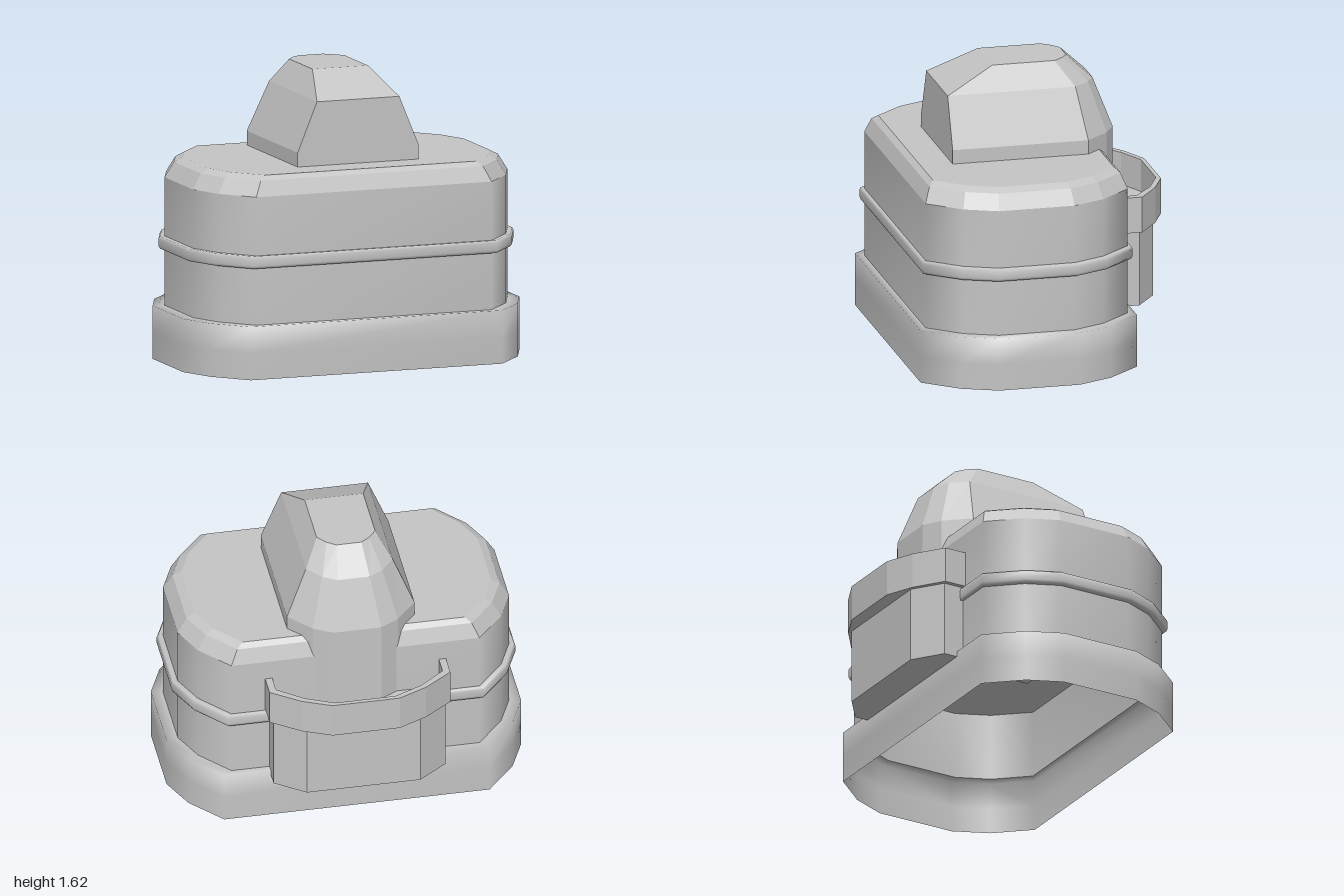
import * as THREE from 'three';

// Symmetric ring at height y from a half outline of [x, z], listed from back to front
function ring(half, y) {
  const right = half.map(([x, z]) => [x, y, z]);
  const left = half.map(([x, z]) => [-x, y, z]).reverse();
  return [...right, ...left];
}

// Skin between successive rings, with optional end caps; flat splits every face
function loft(rings, { bottom = false, top = false, flat = true } = {}) {
  const n = rings[0].length;
  const index = [];
  for (let i = 0; i < rings.length - 1; i++) {
    for (let j = 0; j < n; j++) {
      const k = (j + 1) % n;
      const a = i * n + j, b = i * n + k;
      index.push(a, a + n, b, b, a + n, b + n);
    }
  }
  const last = (rings.length - 1) * n;
  for (let k = 1; k < n - 1; k++) {
    if (bottom) index.push(0, k, k + 1);
    if (top) index.push(last, last + k + 1, last + k);
  }
  const geo = new THREE.BufferGeometry();
  geo.setAttribute('position', new THREE.Float32BufferAttribute(rings.flat(2), 3));
  geo.setIndex(index);
  const out = flat ? geo.toNonIndexed() : geo;
  out.computeVertexNormals();
  return out;
}

// Body footprint: a long shape with two-step cut corners, scaled about its own centre
const CENTRE_Z = 0.1375;
const CORNER = [[0.7, 0.5775], [0.855, 0.4], [0.935, 0.217]];
function footprint(scale, y) {
  const back = CORNER.map(([x, z]) => [x * scale, CENTRE_Z - z * scale]);
  const front = CORNER.map(([x, z]) => [x * scale, CENTRE_Z + z * scale]).reverse();
  return ring([...back, ...front], y);
}
const bodyRings = (profile) => profile.map(([s, y]) => footprint(s, y));

export function createModel() {
  const model = new THREE.Group();
  model.name = 'model';
  const grey = new THREE.MeshStandardMaterial({ color: 0xc4c4c4, side: THREE.DoubleSide });
  grey.name = 'grey';
  const add = (name, geo) => {
    const mesh = new THREE.Mesh(geo, grey);
    mesh.name = name;
    model.add(mesh);
  };

  // Base skirt, open underneath
  add('baseSkirt', loft(bodyRings([[1.07, 0], [1.07, 0.15], [1.07, 0.3], [1, 0.3]]), { flat: false }));

  // Hollow lower wall, closed by a ceiling, with the solid upper wall above
  add('lowerWall', loft(bodyRings([[1, 0.3], [1, 0.69]]), { flat: false }));
  add('ceiling', loft(bodyRings([[1, 0.69], [0.99, 0.69]]), { top: true }));
  add('upperWall', loft(bodyRings([[1, 0.69], [1, 1.02]]), { flat: false }));

  // Bevelled roof
  add('roof', loft(bodyRings([[1, 1.02], [0.945, 1.105], [0.895, 1.13]]), { top: true }));

  // Rounded belt around the middle
  add('belt', loft(bodyRings([
    [1, 0.62], [1.027, 0.62], [1.036, 0.635], [1.036, 0.675], [1.027, 0.69], [1, 0.69],
  ]), { flat: false }));

  // Tower with a rounded back and a sloped front top
  const towerFoot = [[0.135, -0.495], [0.24, -0.435], [0.36, -0.3], [0.36, 0.475]];
  const towerShoulder = [[0.09, -0.39], [0.17, -0.345], [0.245, -0.255], [0.245, 0.475]];
  const towerTop = [[0.07, -0.245], [0.12, -0.21], [0.165, -0.155], [0.165, 0.2]];
  add('tower', loft([
    ring(towerFoot, 0.67), ring(towerFoot, 1.21), ring(towerShoulder, 1.49), ring(towerTop, 1.625),
  ], { bottom: true, top: true }));

  // Box on the back, under the balcony
  const box = [[0.32, -0.68], [0.485, -0.56], [0.485, -0.44]];
  add('backBox', loft([ring(box, 0.27), ring(box, 0.71)], { bottom: true, top: true }));

  // Balcony with a thin raised rim
  const outer = [[0.19, -0.757], [0.35, -0.685], [0.51, -0.57], [0.51, -0.4]];
  const inner = [[0.17, -0.733], [0.33, -0.66], [0.47, -0.55], [0.47, -0.42]];
  add('balcony', loft([
    ring(outer, 0.7), ring(outer, 0.905), ring(inner, 0.905), ring(inner, 0.72),
  ], { bottom: true, top: true }));

  return model;
}
